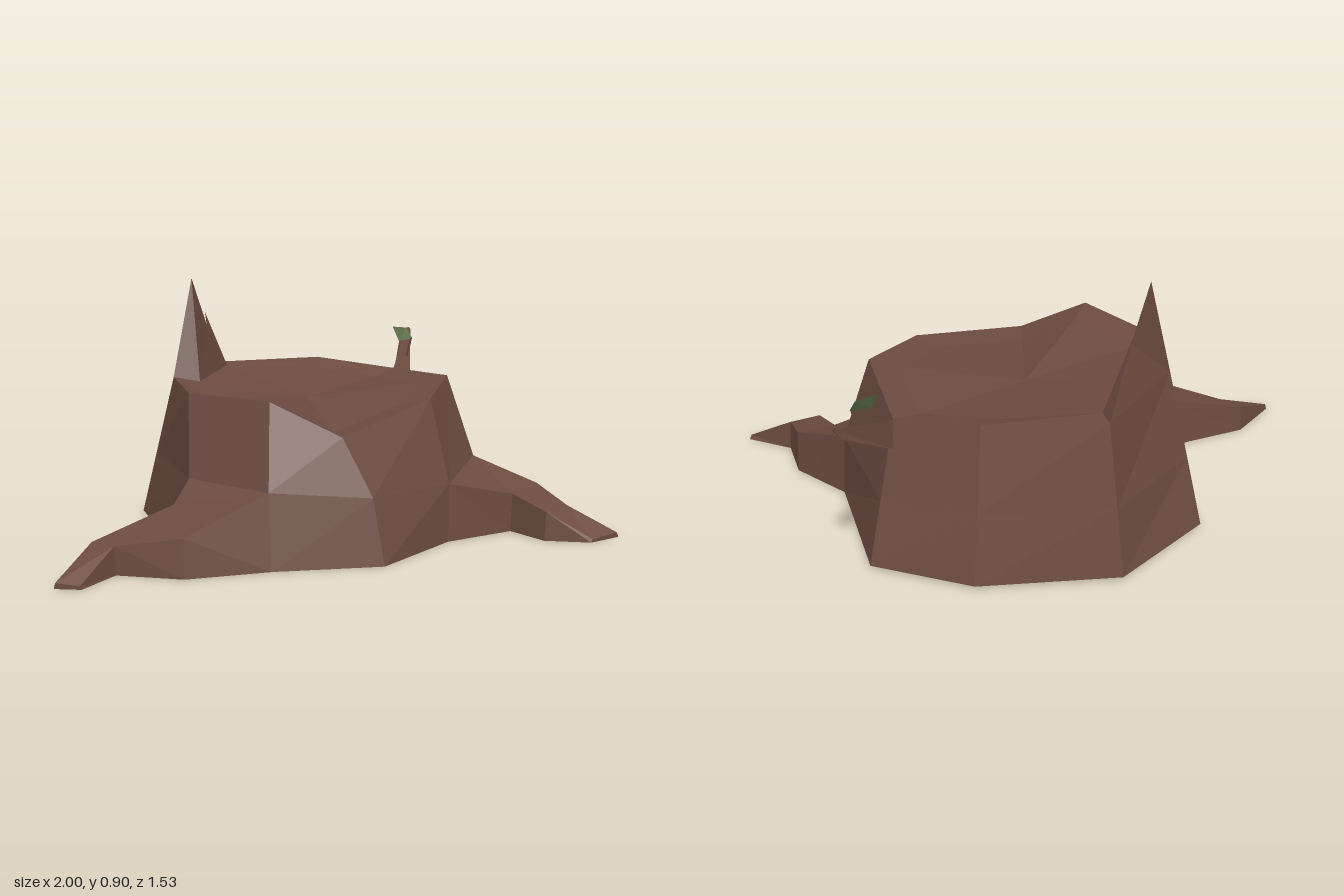
import * as THREE from 'three';

const bark = new THREE.MeshStandardMaterial({ color: 0x6d4c41 });
bark.name = 'bark brown';
bark.flatShading = true;
const green = new THREE.MeshStandardMaterial({ color: 0x5a7048, side: THREE.DoubleSide });
green.name = 'leaf green';

// Faceted mesh from triangles given as corner points
function facets(name, tris, material = bark) {
  const geo = new THREE.BufferGeometry();
  geo.setAttribute('position', new THREE.Float32BufferAttribute(tris.flat(2), 3));
  geo.computeVertexNormals();
  const mesh = new THREE.Mesh(geo, material);
  mesh.name = name;
  return mesh;
}

const mix = (a, b, t) => a.map((v, i) => v + (b[i] - v) * t);

function fan(ring, centre) {
  return ring.map((p, i) => [p, ring[(i + 1) % ring.length], centre]);
}

// Joins successive closed rings of equal length with triangles
function loft(rings) {
  const tris = [];
  for (let r = 0; r + 1 < rings.length; r++) {
    const a = rings[r], b = rings[r + 1];
    a.forEach((p, i) => {
      const j = (i + 1) % a.length;
      tris.push([p, a[j], b[j]], [p, b[j], b[i]]);
    });
  }
  return tris;
}

export function createModel() {
  const group = new THREE.Group();
  group.name = 'treeStump';

  // Trunk rings, running front, right, back, left
  const foot = [[-0.02, 0, 0.48], [0.36, 0, 0.41], [0.72, 0, 0.21], [0.84, 0.01, -0.29], [0.6, 0.01, -0.57],
    [0.16, 0.012, -0.768], [-0.25, 0.01, -0.625], [-0.46, 0, -0.08], [-0.35, 0, 0.28]];
  const rim = [[-0.08, 0.43, 0.33], [0.37, 0.505, 0.3], [0.63, 0.54, 0.13], [0.72, 0.51, -0.26], [0.53, 0.545, -0.5],
    [0.17, 0.54, -0.685], [-0.2, 0.545, -0.48], [-0.335, 0.54, -0.2], [-0.26, 0.55, 0.16]];
  const waist = foot.map((p, i) => mix(p, rim[i], 0.45));
  waist[0] = [-0.03, 0.23, 0.43];
  waist[1] = [0.37, 0.21, 0.4];
  waist[2] = [0.71, 0.23, 0.2];
  waist[7] = [-0.41, 0.26, -0.1];
  waist[8] = [-0.33, 0.26, 0.24];

  // Shallow hollow in the cut top, meeting the inner base of the splinters
  const centre = [0.18, 0.47, -0.16];
  const inL = [-0.13, 0.53, -0.41], inR = [0.15, 0.538, -0.61];
  const hollow = rim.map(([x, y, z]) => mix([x, y - 0.015, z], centre, 0.2));
  hollow[5] = inR;
  hollow[6] = inL;
  group.add(facets('trunk', loft([foot, waist, rim])));
  group.add(facets('cutTop', [...loft([rim, hollow]), ...fan(hollow, centre)]));
  group.add(facets('underside', fan([...foot].reverse(), [0.18, 0, -0.1])));

  // Roots: each section is a pair of top corners, with a slightly wider foot
  const root = (name, i, sections) => {
    const ground = (p, partner) => {
      const [x, , z] = mix(p, partner, -0.06);
      return [x, 0, z];
    };
    const rings = [[foot[i], foot[i + 1], waist[i + 1], waist[i]],
      ...sections.map(([l, r]) => [ground(l, r), ground(r, l), r, l])];
    const [a, b, c, d] = rings[rings.length - 1];
    group.add(facets(name, [...loft(rings), [a, b, c], [a, c, d]]));
  };
  root('frontRoot', 1, [
    [[0.645, 0.14, 0.46], [0.795, 0.155, 0.445]],
    [[0.64, 0.105, 0.625], [0.76, 0.11, 0.62]],
    [[0.75, 0.012, 0.75], [0.87, 0.018, 0.765]],
  ]);
  root('sideRoot', 7, [
    [[-0.49, 0.185, -0.08], [-0.615, 0.135, 0.145]],
    [[-0.8, 0.1, -0.12], [-0.77, 0.1, -0.03]],
    [[-0.997, 0.02, -0.03], [-0.94, 0.012, 0.028]],
  ]);

  // Twin splinters rising from the back rim
  const outL = rim[6], outR = rim[5];
  const tall = [-0.09, 0.905, -0.51], notch = [0, 0.72, -0.54], small = [0.03, 0.76, -0.59];
  group.add(facets('splinters', [
    [outR, outL, notch], [outL, tall, notch], [outR, notch, small],
    [inL, inR, notch], [inL, notch, tall], [notch, inR, small],
    [outL, inL, tall], [inR, outR, small],
  ]));

  // Side branch tapering to a blunt tip
  const tip = [[0.997, 0.625, -0.44], [0.985, 0.612, -0.485], [0.995, 0.632, -0.45]];
  group.add(facets('branch', [
    ...loft([[[0.73, 0.4, -0.17], [0.73, 0.41, -0.28], [0.71, 0.5, -0.25]], tip]), tip,
  ]));

  // Twig and its leaf
  const prism = ([x, y, z]) => [[x - 0.005, y, z + 0.003], [x + 0.005, y, z + 0.003], [x, y, z - 0.004]];
  group.add(facets('twig', loft([prism([0.865, 0.53, -0.33]), prism([0.882, 0.61, -0.321])])));
  const leaf = [[0.818, 0.602, -0.325], [0.89, 0.608, -0.32], [0.88, 0.65, -0.345], [0.806, 0.66, -0.35]];
  group.add(facets('leaf', [[leaf[0], leaf[1], leaf[2]], [leaf[0], leaf[2], leaf[3]]], green));

  return group;
}
